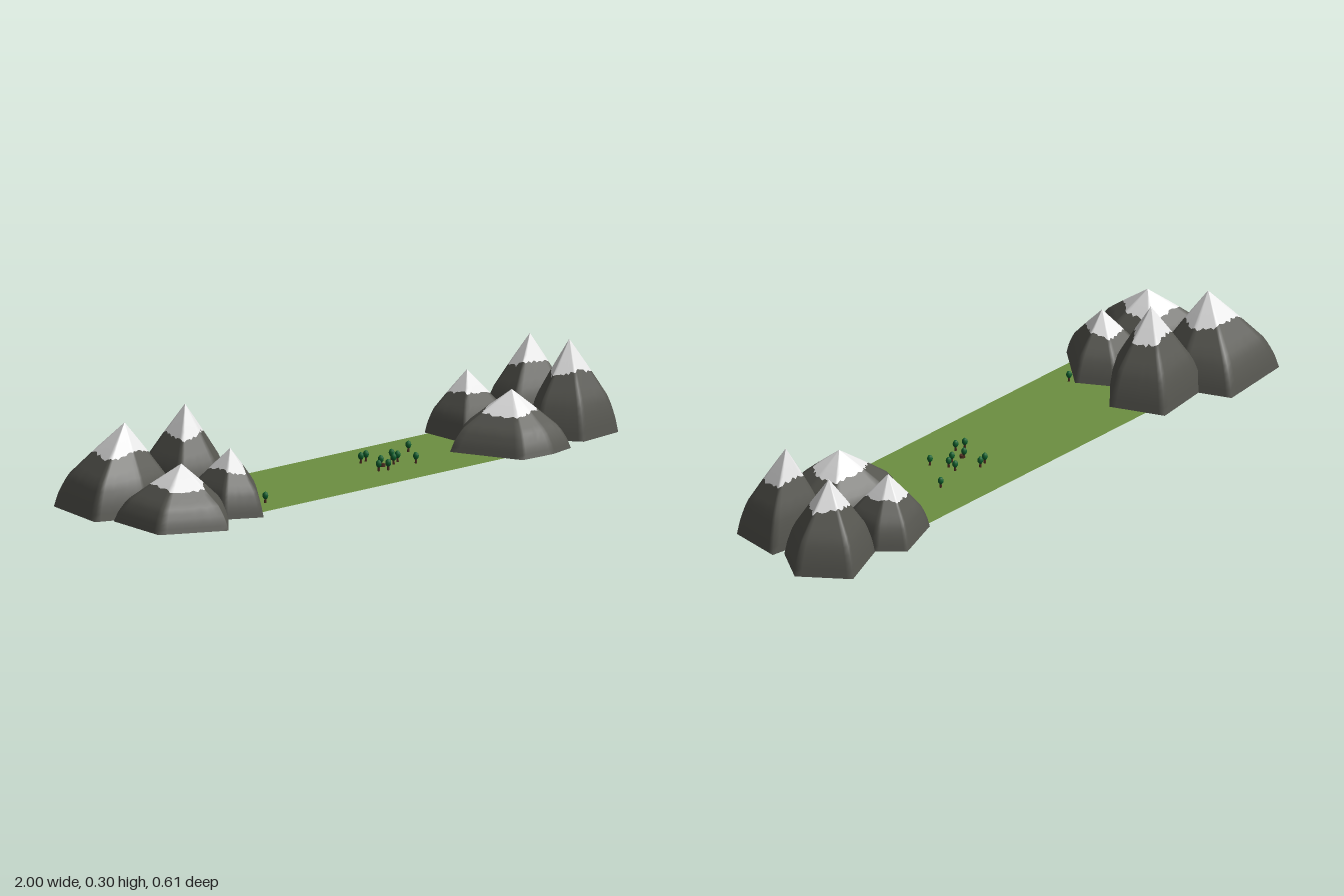
import * as THREE from 'three';

const BASE = 0.005;

const mat = (name, color, side = THREE.FrontSide) => {
  const m = new THREE.MeshStandardMaterial({ color, side });
  m.name = name;
  return m;
};

// small seeded random
function seeded(seed) {
  let s = seed * 7919 + 17;
  return () => ((s = (s * 16807) % 2147483647) / 2147483647);
}

// domed slope: [height fraction, radius fraction]
const SLOPE = [[0, 1], [0.18, 0.93], [0.38, 0.8], [0.54, 0.6], [0.7, 0.4], [0.85, 0.2], [1, 0]];
function slope(t) {
  for (let i = 1; i < SLOPE.length; i++) {
    const [t0, r0] = SLOPE[i - 1], [t1, r1] = SLOPE[i];
    if (t <= t1) return r0 + ((r1 - r0) * (t - t0)) / (t1 - t0);
  }
  return 0;
}

// a band of mountain surface between two height rules, lo(i) and hi(i)
function band(ring, peak, height, rows, lo, hi) {
  const n = ring.length, pos = [], idx = [];
  for (let j = 0; j <= rows; j++) {
    for (let i = 0; i < n; i++) {
      const t = lo(i) + ((hi(i) - lo(i)) * j) / rows, r = slope(t);
      pos.push(peak[0] + (ring[i][0] - peak[0]) * r, BASE + t * height, peak[1] + (ring[i][1] - peak[1]) * r);
    }
  }
  for (let j = 0; j < rows; j++) {
    for (let i = 0; i < n; i++) {
      const a = j * n + i, b = j * n + ((i + 1) % n), c = a + n, d = b + n;
      idx.push(a, c, b);
      if (j < rows - 1 || hi(i) < 1) idx.push(b, c, d);
    }
  }
  const g = new THREE.BufferGeometry();
  g.setAttribute('position', new THREE.Float32BufferAttribute(pos, 3));
  g.setIndex(idx);
  g.computeVertexNormals();
  return g;
}

// peak [x, z], height, snow line fraction, base outline [x, z]
const MOUNTAINS = [
  { peak: [-0.81, -0.125], h: 0.267, snow: 0.66, base: [[-0.96, -0.28], [-0.72, -0.31], [-0.65, -0.16], [-0.69, -0.02], [-0.85, 0.01], [-1, -0.05]] },
  { peak: [-0.585, -0.1], h: 0.292, snow: 0.68, base: [[-0.7, -0.21], [-0.5, -0.24], [-0.425, -0.08], [-0.53, 0.02], [-0.69, -0.01]] },
  { peak: [-0.8, 0.12], h: 0.182, snow: 0.63, base: [[-0.95, -0.02], [-0.7, 0], [-0.66, 0.18], [-0.77, 0.3], [-0.965, 0.2]] },
  { peak: [-0.595, 0.115], h: 0.195, snow: 0.66, base: [[-0.69, 0], [-0.53, -0.01], [-0.46, 0.1], [-0.58, 0.25], [-0.69, 0.19]] },
  { peak: [0.595, -0.125], h: 0.195, snow: 0.66, base: [[0.49, -0.2], [0.65, -0.26], [0.72, -0.19], [0.7, -0.03], [0.49, -0.01]] },
  { peak: [0.84, -0.11], h: 0.27, snow: 0.68, base: [[0.72, -0.19], [0.89, -0.26], [1, -0.12], [0.92, 0], [0.7, -0.03]] },
  { peak: [0.57, 0.105], h: 0.18, snow: 0.64, base: [[0.385, 0.03], [0.48, -0.05], [0.72, -0.02], [0.72, 0.13], [0.69, 0.24], [0.6, 0.26], [0.48, 0.255]] },
  { peak: [0.82, 0.09], h: 0.292, snow: 0.66, base: [[0.74, -0.01], [0.95, 0.02], [0.93, 0.19], [0.77, 0.21], [0.68, 0.09]] },
];

const TREES = [
  [0.065, 0.06], [0.095, 0.07], [0.11, 0.02], [0.155, 0.028], [0.185, 0.013], [0.215, 0.063],
  [0.09, -0.048], [0.117, -0.055], [0.187, -0.016], [0.292, -0.056], [-0.455, 0.12],
];

export function createModel() {
  const model = new THREE.Group();
  const rock = mat('dark rock', 0x55554f, THREE.DoubleSide);
  const snow = mat('snow', 0xe6e6e6, THREE.DoubleSide);
  const grass = mat('grass', 0x6d8f41, THREE.DoubleSide);
  const leaf = mat('leaf green', 0x0c5f2c);
  const bark = mat('bark', 0x4a2c20);

  const add = (parent, name, geo, m, x = 0, y = 0, z = 0) => {
    const mesh = new THREE.Mesh(geo, m);
    mesh.name = name;
    mesh.position.set(x, y, z);
    parent.add(mesh);
    return mesh;
  };

  // valley floor
  add(model, 'valleyFloor', new THREE.PlaneGeometry(1.2, 0.385).rotateX(-Math.PI / 2), grass, 0.05, BASE, 0.007);

  // mountains with ragged snow caps
  MOUNTAINS.forEach(({ peak, h, snow: line, base }, k) => {
    const ring = [];
    base.forEach((p, i) => {
      const q = base[(i + 1) % base.length];
      for (let s = 0; s < 9; s++) ring.push([p[0] + ((q[0] - p[0]) * s) / 9, p[1] + ((q[1] - p[1]) * s) / 9]);
    });
    const rand = seeded(k + 1);
    const edge = ring.map((_, i) => line + 0.03 * Math.sin((i / ring.length) * Math.PI * 4 + k) + (rand() - 0.5) * 0.04);
    const mountain = new THREE.Group();
    mountain.name = 'mountain';
    add(mountain, 'mountainRock', band(ring, peak, h, 8, () => 0, (i) => edge[i]), rock);
    add(mountain, 'snowCap', band(ring, peak, h, 4, (i) => edge[i], () => 1), snow);
    model.add(mountain);
  });

  // little trees
  const crown = new THREE.SphereGeometry(0.009, 8, 6).scale(1, 1.35, 1);
  const trunk = new THREE.CylinderGeometry(0.003, 0.004, 0.016, 6);
  TREES.forEach(([x, z]) => {
    const tree = new THREE.Group();
    tree.name = 'tree';
    tree.position.set(x, BASE, z);
    add(tree, 'treeTrunk', trunk, bark, 0, 0.007, 0);
    add(tree, 'treeCrown', crown, leaf, 0, 0.023, 0);
    model.add(tree);
  });

  // stump among the trees
  add(model, 'stump', new THREE.CylinderGeometry(0.008, 0.009, 0.014, 8), bark, 0.112, 0.007, 0.026);

  return model;
}
